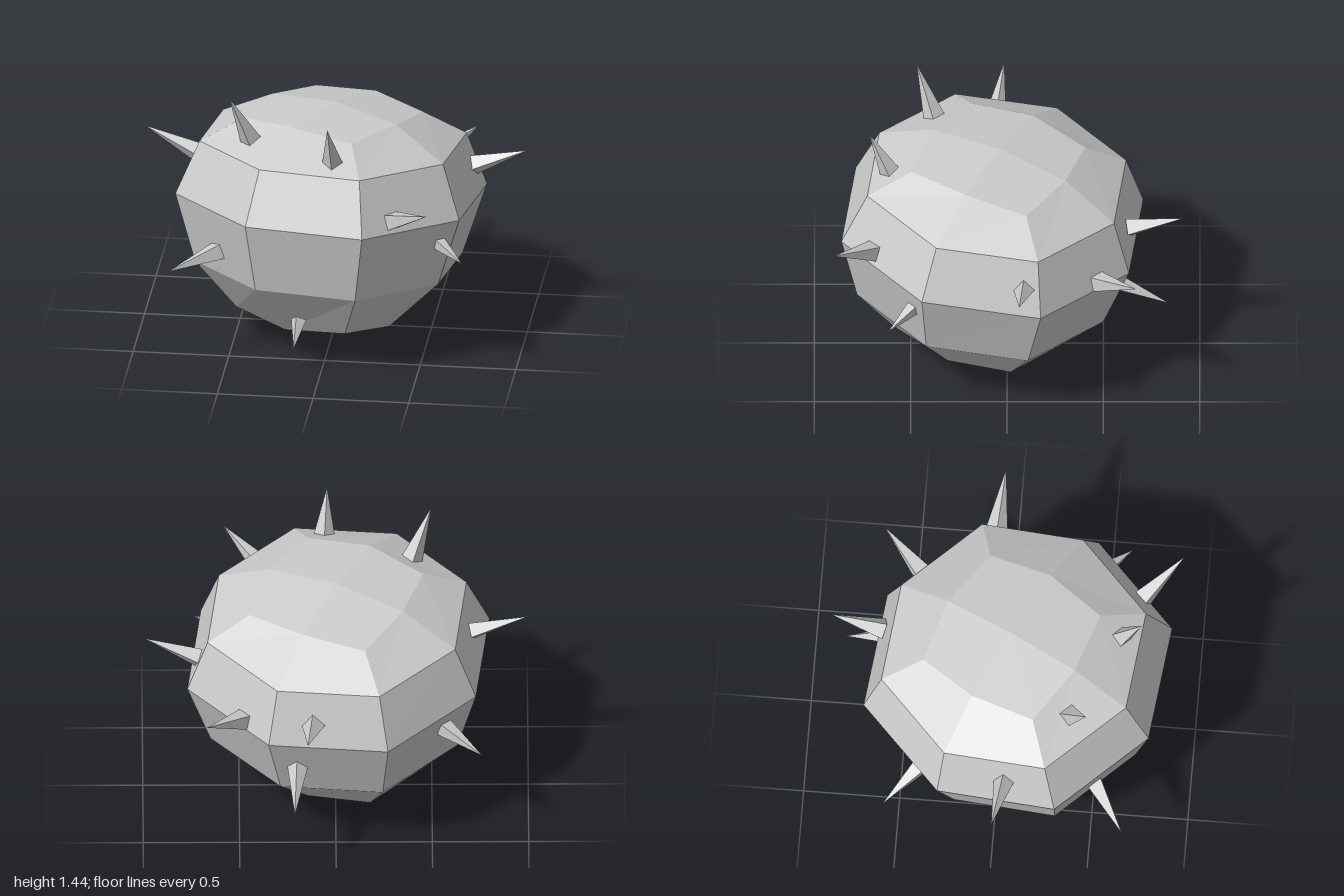
import * as THREE from 'three';

const material = new THREE.MeshStandardMaterial({ color: 0xcccccc, flatShading: true, roughness: 0.8 });

// Faceted eight-sided body; corner and edge columns alternate like a rounded cube
function makeBody() {
  // corner radius, corner height, edge radius, edge height
  const rings = [
    [0, 0, 0, 0],
    [0.48, 0.16, 0.39, 0.122],
    [0.708, 0.418, 0.684, 0.418],
    [0.825, 0.793, 0.8, 0.793],
    [0.707, 1.077, 0.687, 1.077],
    [0.474, 1.2, 0.388, 1.23],
    [0, 1.272, 0, 1.272],
  ];
  const sides = 8;
  const turn = THREE.MathUtils.degToRad(17.9);
  const point = (ring, k) => {
    const [rc, yc, re, ye] = rings[ring];
    const edge = k % 2 === 1;
    const a = turn + (k * Math.PI * 2) / sides;
    const r = edge ? re : rc;
    return [r * Math.sin(a), edge ? ye : yc, r * Math.cos(a)];
  };
  const positions = [];
  const last = rings.length - 2;
  for (let i = 0; i <= last; i++) {
    for (let k = 0; k < sides; k++) {
      const a = point(i, k), b = point(i, k + 1);
      const c = point(i + 1, k + 1), d = point(i + 1, k);
      if (i > 0) positions.push(...a, ...b, ...c);
      if (i < last) positions.push(...a, ...c, ...d);
    }
  }
  const geometry = new THREE.BufferGeometry();
  geometry.setAttribute('position', new THREE.Float32BufferAttribute(positions, 3));
  geometry.computeVertexNormals();
  const body = new THREE.Mesh(geometry, material);
  body.name = 'body';
  // Slight lean of the whole body
  body.rotation.set(-0.08, 0, -0.025);
  body.position.set(-0.035, 0.003, 0.14);
  return body;
}

// Four-sided spike from its root on the body to its tip
function makeSpike(root, tip, radius) {
  const end = new THREE.Vector3(...tip);
  const direction = end.clone().sub(new THREE.Vector3(...root));
  const length = direction.length() + 0.03;
  direction.normalize();
  const geometry = new THREE.ConeGeometry(radius, length, 4);
  geometry.translate(0, -length / 2, 0);
  const spike = new THREE.Mesh(geometry, material);
  spike.quaternion.setFromUnitVectors(new THREE.Vector3(0, 1, 0), direction);
  spike.position.copy(end);
  return spike;
}

export function createModel() {
  const model = new THREE.Group();
  model.name = 'spikedBall';
  model.add(makeBody());

  // root, tip, radius
  const spikes = [
    [[0.12, 0.86, -0.66], [0.147, 0.93, -0.91], 0.06],
    [[0.2, 0.54, -0.6], [0.215, 0.43, -0.84], 0.055],
    [[0.49, 0.78, -0.48], [0.67, 0.87, -0.67], 0.06],
    [[0.7, 0.89, -0.09], [0.995, 1.0, -0.064], 0.062],
    [[0.6, 0.69, 0.49], [0.733, 0.636, 0.618], 0.045],
    [[0.37, 0.89, 0.69], [0.58, 1.015, 0.9], 0.065],
    [[0.055, 1.17, 0.61], [0.04, 1.397, 0.715], 0.06],
    [[-0.4, 1.18, 0.38], [-0.5, 1.445, 0.47], 0.062],
    [[-0.57, 0.6, 0.53], [-0.797, 0.54, 0.68], 0.058],
    [[-0.7, 0.95, 0.06], [-1.0, 1.075, 0.015], 0.06],
    [[-0.58, 0.66, -0.41], [-0.76, 0.61, -0.57], 0.052],
    [[-0.125, 0.25, 0.62], [-0.137, 0.15, 0.712], 0.042],
  ];
  const spikeGroup = new THREE.Group();
  spikeGroup.name = 'spikes';
  spikes.forEach(([root, tip, radius], i) => {
    const spike = makeSpike(root, tip, radius);
    spike.name = `spike${i + 1}`;
    spikeGroup.add(spike);
  });
  model.add(spikeGroup);
  return model;
}
